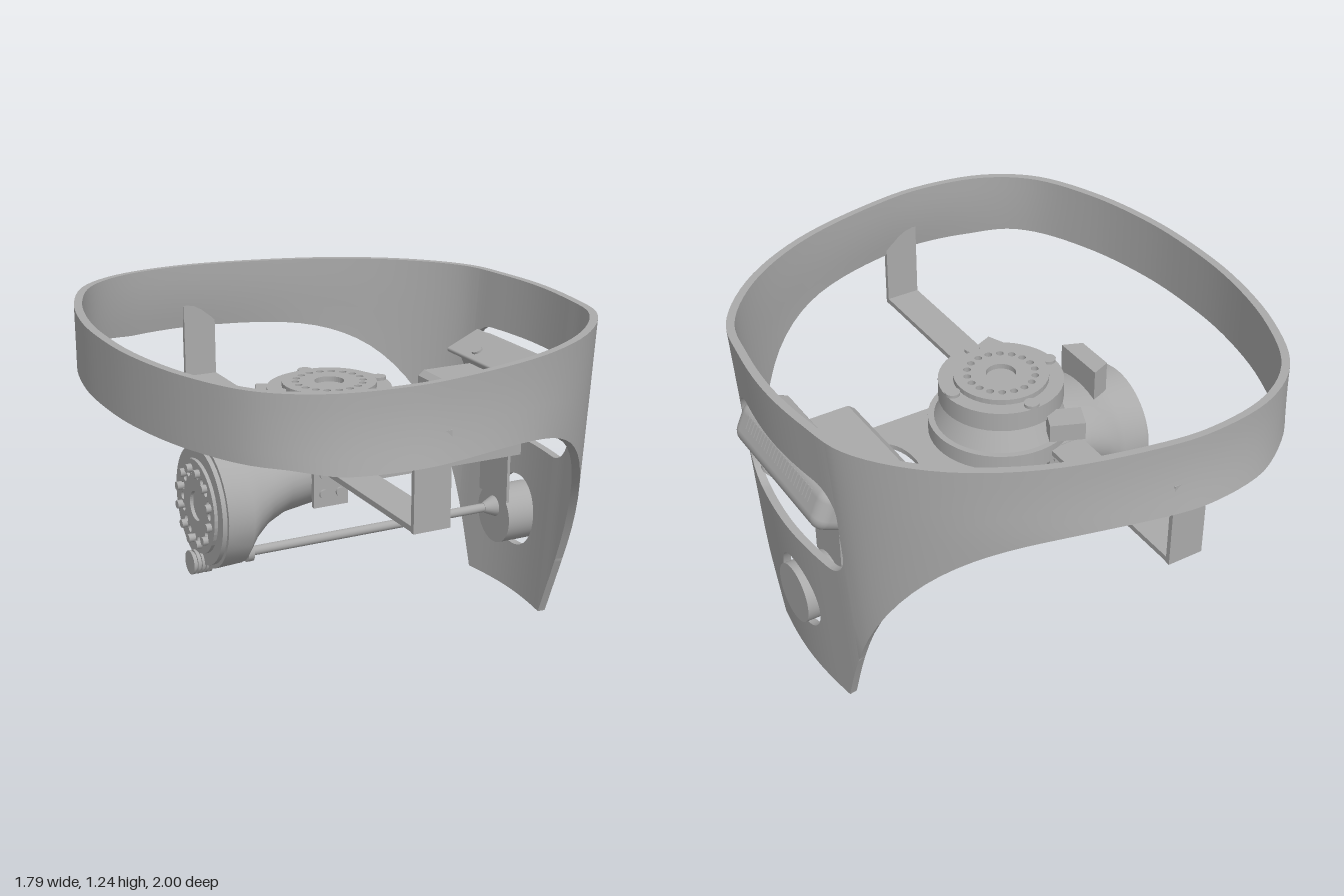
import * as THREE from 'three';
import { toCreasedNormals } from 'three/addons/utils/BufferGeometryUtils.js';
import { RoundedBoxGeometry } from 'three/addons/geometries/RoundedBoxGeometry.js';

const grey = new THREE.MeshStandardMaterial({ color: 0xaaaaaa });
grey.name = 'grey plastic';

// Closed skin over a row of equal-length loops, with end caps
function loft(sections, crease = 0.6) {
  const n = sections[0].length, idx = [];
  for (let i = 0; i < sections.length - 1; i++) {
    for (let j = 0; j < n; j++) {
      const a = i * n + j, b = i * n + (j + 1) % n;
      idx.push(a, b, b + n, a, b + n, a + n);
    }
  }
  const e = (sections.length - 1) * n;
  for (let j = 1; j < n - 1; j++) idx.push(0, j + 1, j, e, e + j, e + j + 1);
  const g = new THREE.BufferGeometry();
  g.setAttribute('position', new THREE.Float32BufferAttribute(sections.flat(2), 3));
  g.setIndex(idx);
  return toCreasedNormals(g, crease);
}

// Plan outline of the head ring, starting at the face and running to +z
const half = [[0.865, 0.24], [0.82, 0.44], [0.635, 0.67], [0.34, 0.86], [-0.03, 0.975], [-0.24, 1],
  [-0.5, 0.95], [-0.69, 0.81], [-0.82, 0.55], [-0.89, 0.25]];
const outline = new THREE.CatmullRomCurve3(
  [[0.885, 0], ...half, [-0.905, 0], ...half.map(([x, z]) => [x, -z]).reverse()]
    .map(([x, z]) => new THREE.Vector3(x, 0, z)), true);
const TOP = 1.24, WALL = 0.03;

function column(t) {
  const p = outline.getPoint(t), d = outline.getTangent(t);
  return { x: p.x, z: p.z, nx: d.z, nz: -d.x };
}
function tAtZ(z) {
  let a = 0, b = 0.13;
  for (let i = 0; i < 30; i++) {
    const m = (a + b) / 2;
    if (outline.getPoint(m).z < z) a = m; else b = m;
  }
  return a;
}
function columnAtZ(z) {
  const c = column(tAtZ(Math.abs(z)));
  return z < 0 ? { ...c, z: -c.z, nz: -c.nz } : c;
}
// The face leans back as it goes down; the sides flare at the lower edge
function wallPoint(c, y, inset) {
  const x = c.x - c.nx * inset, z = c.z - c.nz * inset, d = TOP - y;
  const f = Math.min(1, d / 0.26), w = Math.min(1, z ** 4);
  return [x - 0.07 * d * Math.min(1, Math.max(0, x / 0.6)), y, z * (1 - 0.035 * w * (1 - f * f))];
}
function wall(cols, lo, hi) {
  const K = 5;
  return loft(cols.map(c => {
    const y0 = lo(c), y1 = hi(c), ring = [];
    for (let k = 0; k <= K; k++) ring.push(wallPoint(c, y0 + (y1 - y0) * k / K, 0));
    for (let k = K; k >= 0; k--) ring.push(wallPoint(c, y0 + (y1 - y0) * k / K, WALL));
    return ring;
  }));
}
function lowerEdge({ x, z }) {
  const a = Math.abs(z);
  if (x < 0) return 0.978 + 0.022 * THREE.MathUtils.smoothstep(-x, 0.45, 0.65);
  if (a <= 0.265) return 0;
  return 0.978 * (1 - (Math.max(0, 0.97 - a) / 0.705) ** 2);
}
// Face openings: a rounded window and a round hole
const SLOT = 0.365, HOLE = 0.145, HOLE_Y = 0.335;
const corner = (z, r) => {
  const d = Math.max(0, Math.abs(z) - (SLOT - r));
  return r - Math.sqrt(Math.max(0, r * r - d * d));
};
const slotLow = c => 0.63 + corner(c.z, 0.12);
const slotHigh = c => 1.02 - corner(c.z, 0.1);
const chord = c => Math.sqrt(Math.max(0, HOLE * HOLE - c.z * c.z));
// Columns bunched toward both ends so that round edges stay round
function span(z0, z1, n) {
  return Array.from({ length: n + 1 }, (_, i) =>
    columnAtZ((z0 + z1) / 2 - (z1 - z0) / 2 * Math.cos(Math.PI * i / n)));
}

export function createModel() {
  const model = new THREE.Group();
  const add = (name, geo, x = 0, y = 0, z = 0, parent = model) => {
    const m = new THREE.Mesh(geo, grey);
    m.name = name;
    m.position.set(x, y, z);
    parent.add(m);
    return m;
  };
  const box = (name, w, h, d, x, y, z, parent) => add(name, new THREE.BoxGeometry(w, h, d), x, y, z, parent);
  const cyl = (name, r, len, axis, x, y, z, sides = 32, parent = model, r2 = r) => {
    const g = new THREE.CylinderGeometry(r2, r, len, sides);
    if (axis === 'x') g.rotateZ(-Math.PI / 2);
    return add(name, g, x, y, z, parent);
  };

  // Head ring and face guard
  const t0 = tAtZ(SLOT), N = 110;
  const top = () => TOP;
  add('headRing', wall(Array.from({ length: N + 1 }, (_, i) => column(t0 + (1 - 2 * t0) * i / N)), lowerEdge, top));
  add('browBand', wall(span(-SLOT, SLOT, 36), slotHigh, top));
  for (const s of [-1, 1]) {
    const a = s < 0 ? [-SLOT, -0.265] : [0.265, SLOT], b = s < 0 ? [-0.265, -HOLE] : [HOLE, 0.265];
    add('faceEdge', wall(span(...a, 12), lowerEdge, slotLow));
    add('faceSide', wall(span(...b, 6), lowerEdge, slotLow));
  }
  add('faceAboveHole', wall(span(-HOLE, HOLE, 24), c => HOLE_Y + chord(c), slotLow));
  add('faceBelowHole', wall(span(-HOLE, HOLE, 24), () => 0, c => HOLE_Y - chord(c)));

  // Hanger straps carrying the drive
  for (const s of [-1, 1]) {
    box('hangerUpright', 0.135, 0.33, 0.018, -0.16, 0.915, s * 0.962);
    box('hangerArm', 0.135, 0.02, 0.74, -0.16, 0.763, s * 0.601);
    box('hangerPlate', 0.135, 0.18, 0.02, -0.16, 0.685, s * 0.243);
    for (const x of [-0.19, -0.125]) for (const y of [0.645, 0.72]) {
      cyl('plateScrew', 0.017, 0.012, 'y', x, y, s * 0.256, 16).rotation.x = Math.PI / 2;
    }
    // Side rails of the camera platform
    const rail = new THREE.Shape([[-0.085, 0.66], [0.65, 0.66], [0.65, 0.74], [0.06, 0.74], [0, 0.8], [-0.085, 0.8]]
      .map(p => new THREE.Vector2(...p)));
    add('platformRail', new THREE.ExtrudeGeometry(rail, { depth: 0.02, bevelEnabled: false }), 0, 0, s * 0.23 - 0.01);
    for (const y of [0.695, 0.765]) {
      cyl('railScrew', 0.017, 0.012, 'y', -0.04, y, s * 0.245, 16).rotation.x = Math.PI / 2;
    }
  }

  // Platform with a rounded opening
  const plate = new THREE.Shape([[0.1, -0.23], [0.65, -0.23], [0.65, 0.23], [0.1, 0.23]].map(p => new THREE.Vector2(...p)));
  const gap = new THREE.Path();
  gap.absellipse(0.395, 0, 0.065, 0.13, 0, Math.PI * 2);
  plate.holes.push(gap);
  add('platform', new THREE.ExtrudeGeometry(plate, { depth: 0.02, bevelEnabled: false, curveSegments: 20 })
    .rotateX(Math.PI / 2), 0, 0.74, 0);

  // Drive housing: elbow from the rear joint to the top joint
  const sections = [[-0.55, 0.345, 0.815, 0.235], [-0.45, 0.35, 0.815, 0.235], [-0.42, 0.42, 0.815, 0.235],
    [-0.37, 0.485, 0.82, 0.235], [-0.3, 0.525, 0.84, 0.235], [-0.15, 0.55, 0.86, 0.235], [-0.04, 0.6, 0.83, 0.235],
    [0.1, 0.68, 0.8, 0.21], [0.2, 0.74, 0.79, 0.1]];
  add('driveHousing', loft(sections.map(([x, lo, hi, w]) => Array.from({ length: 40 }, (_, i) => {
    const a = i / 40 * Math.PI * 2;
    return [x, (lo + hi) / 2 + (hi - lo) / 2 * Math.cos(a), w * Math.sin(a)];
  })), 0.7));
  const tab = new THREE.Shape([[-0.11, 0], [0.11, 0], [0.08, 0.075], [-0.08, 0.075]].map(p => new THREE.Vector2(...p)));
  add('housingTab', new THREE.ExtrudeGeometry(tab, { depth: 0.13, bevelEnabled: false })
    .rotateX(-Math.PI / 2).rotateY(Math.PI / 2), -0.38, 0.79, 0);

  // Top joint
  const jx = -0.04;
  cyl('topJointBase', 0.27, 0.07, 'y', jx, 0.765, 0, 48);
  cyl('topJointShoulder', 0.25, 0.09, 'y', jx, 0.84, 0, 48, model, 0.2);
  cyl('topJointFlange', 0.23, 0.075, 'y', jx, 0.922, 0, 48);
  const disc = new THREE.Shape().absarc(0, 0, 0.175, 0, Math.PI * 2);
  for (let i = 0; i <= 18; i++) {
    const a = i / 18 * Math.PI * 2, r = i ? 0.125 : 0;
    disc.holes.push(new THREE.Path().absarc(r * Math.cos(a), r * Math.sin(a), i ? 0.014 : 0.055, 0, Math.PI * 2));
  }
  const discGeo = new THREE.ExtrudeGeometry(disc, { depth: 0.02, bevelEnabled: false, curveSegments: 20 });
  add('topJointDisc', discGeo.clone().rotateX(-Math.PI / 2), jx, 0.96, 0);
  for (let i = 0; i < 4; i++) {
    const a = i * Math.PI / 2;
    cyl('flangeScrew', 0.028, 0.012, 'y', jx + 0.205 * Math.cos(a), 0.965, 0.205 * Math.sin(a), 16);
  }
  for (const s of [-1, 1]) {
    box('flangeLug', 0.13, 0.07, 0.1, -0.15, 0.865, s * 0.26).rotation.y = s * 0.4;
  }

  // Rear joint with bolt ring
  cyl('rearJointRim', 0.22, 0.02, 'x', -0.557, 0.58, 0, 48);
  add('rearJointDisc', discGeo.clone().rotateY(-Math.PI / 2), -0.56, 0.58, 0);
  for (let i = 0; i < 12; i++) {
    const a = (i + 0.5) * Math.PI / 6;
    cyl('rearBolt', 0.016, 0.03, 'x', -0.585, 0.58 + 0.14 * Math.cos(a), 0.14 * Math.sin(a), 12);
  }

  // Push rod below the drive
  const ry = 0.365;
  cyl('pushRod', 0.018, 1.1, 'x', 0.13, ry, 0, 20);
  cyl('rodSleeve', 0.028, 0.16, 'x', -0.46, ry, 0, 20);
  cyl('rodCollar', 0.037, 0.025, 'x', -0.378, ry, 0, 20);
  for (let i = 0; i < 5; i++) cyl('rodKnobThread', 0.045, 0.009, 'x', -0.605 + i * 0.016, ry, 0, 24);
  cyl('rodKnobCore', 0.038, 0.07, 'x', -0.573, ry, 0, 24);
  cyl('rodTip', 0.02, 0.05, 'x', 0.665, ry, 0, 20, model, 0.042);

  // Round sensor in the face hole and its support
  cyl('faceSensor', 0.115, 0.155, 'x', 0.768, 0.33, 0, 48);
  box('sensorSupport', 0.012, 0.3, 0.2, 0.69, 0.56, 0);
  box('supportTie', 0.05, 0.015, 0.2, 0.668, 0.7, 0);

  // Bent camera bracket
  const bend = new THREE.Shape([[0.455, 0.74], [0.66, 0.74], [0.66, 0.76], [0.475, 0.76], [0.475, 0.88],
    [0.69, 0.88], [0.69, 0.9], [0.48, 0.9], [0.455, 0.88]].map(p => new THREE.Vector2(...p)));
  add('cameraBracket', new THREE.ExtrudeGeometry(bend, { depth: 0.42, bevelEnabled: false }), 0, 0, -0.21);

  // Tilted camera bar looking down through the window
  const camera = new THREE.Group();
  camera.name = 'cameraBar';
  camera.position.set(0.79, 0.9, 0);
  camera.rotation.z = 0.42;
  model.add(camera);
  add('cameraBody', new RoundedBoxGeometry(0.165, 0.165, 0.66, 4, 0.05), 0, 0, 0, camera);
  add('cameraBackPlate', new RoundedBoxGeometry(0.16, 0.02, 0.67, 2, 0.008), -0.03, 0.08, 0, camera);
  for (const s of [-1, 1]) cyl('cameraScrew', 0.022, 0.01, 'y', -0.06, 0.094, s * 0.17, 16, camera);
  for (const [z, r] of [[0.25, 0.035], [0.09, 0.06], [-0.13, 0.035], [-0.25, 0.025]]) {
    cyl('cameraLens', r, 0.009, 'y', 0, -0.083, z, 28, camera);
  }
  for (let i = 0; i < 24; i++) box('ventFin', 0.008, 0.05, 0.01, 0.082, 0.02, -0.24 + i * 0.0209, camera);

  return model;
}
